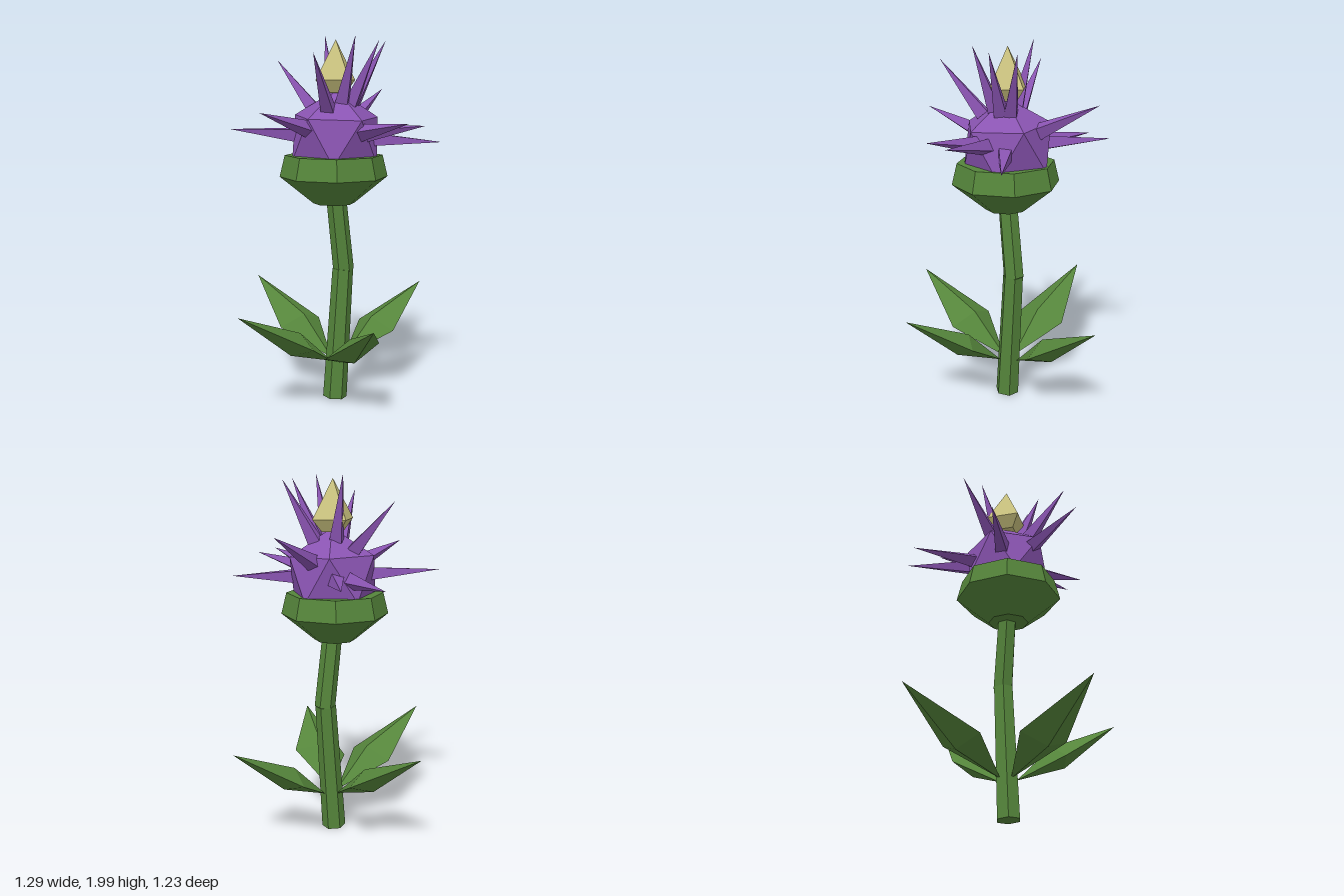
import * as THREE from 'three';

const V = (x, y, z) => new THREE.Vector3(x, y, z);
const UP = V(0, 1, 0);

export function createModel() {
  const model = new THREE.Group();

  const green = new THREE.MeshStandardMaterial({ color: 0x55853b });
  green.name = 'leafGreen';
  const purple = new THREE.MeshStandardMaterial({ color: 0x8a54b2 });
  purple.name = 'thistlePurple';
  const gold = new THREE.MeshStandardMaterial({ color: 0xcbc37f });
  gold.name = 'paleGold';
  for (const m of [green, purple, gold]) m.flatShading = true;

  const add = (name, geometry, material, parent = model) => {
    const mesh = new THREE.Mesh(geometry, material);
    mesh.name = name;
    parent.add(mesh);
    return mesh;
  };

  // Tapered rod or cone running from point a to point b
  const rod = (name, a, b, ra, rb, sides, material, parent) => {
    const dir = b.clone().sub(a);
    const mesh = add(name, new THREE.CylinderGeometry(rb, ra, dir.length(), sides), material, parent);
    mesh.position.copy(a).add(b).multiplyScalar(0.5);
    mesh.quaternion.setFromUnitVectors(UP, dir.normalize());
    return mesh;
  };

  // Bent stem in two hexagonal pieces
  rod('lowerStem', V(0.003, 0.005, 0.043), V(0.055, 0.73, 0.043), 0.066, 0.057, 6, green);
  rod('upperStem', V(0.06, 0.725, 0.043), V(0.012, 1.12, 0.043), 0.057, 0.054, 6, green);

  // Leaves: stretched octahedra, widest at 40% of their length
  const leaf = (base, tip, roll = 0) => {
    const mid = base.clone().lerp(tip, 0.41);
    const axis = tip.clone().sub(base).normalize();
    const side = axis.clone().cross(UP).normalize();
    const ridge = side.clone().cross(axis).multiplyScalar(0.065);
    side.multiplyScalar(0.15);
    side.y += roll;
    const geo = new THREE.OctahedronGeometry(1);
    const pos = geo.attributes.position;
    for (let i = 0; i < pos.count; i++) {
      const [x, y, z] = [pos.getX(i), pos.getY(i), pos.getZ(i)];
      const p = mid.clone().addScaledVector(side, x).addScaledVector(ridge, z);
      p.addScaledVector((y > 0 ? tip : base).clone().sub(mid), Math.abs(y));
      pos.setXYZ(i, p.x, p.y, p.z);
    }
    geo.computeVertexNormals();
    add('leaf', geo, green);
  };
  leaf(V(0.07, 0.215, 0.03), V(0.645, 0.57, -0.003));
  leaf(V(-0.02, 0.215, 0.045), V(-0.65, 0.585, 0.137));
  leaf(V(0.01, 0.215, 0.0), V(-0.11, 0.585, -0.615));
  leaf(V(0.0, 0.215, 0.09), V(-0.157, 0.545, 0.613), -0.03);

  // Eight-sided cup under the flower, closed on top
  const cup = add('flowerCup', new THREE.LatheGeometry(
    [[0, 1.1], [0.11, 1.1], [0.29, 1.245], [0.262, 1.36], [0, 1.36]].map(p => new THREE.Vector2(...p)),
    8, 0.244), green);
  cup.position.set(-0.005, 0, 0.042);

  // Faceted flower head
  const head = add('flowerHead', new THREE.IcosahedronGeometry(0.262, 0), purple);
  head.position.set(0.005, 1.445, 0.042);
  head.rotation.x = -0.97;

  // Spikes radiating from the head, listed by their tips
  const spikes = new THREE.Group();
  spikes.name = 'spikes';
  model.add(spikes);
  const centre = V(0.005, 1.45, 0.042);
  const tips = [
    [0.058, 1.45, -0.52], [0.273, 1.46, -0.46], [0.472, 1.7, -0.165], [0.42, 1.435, 0.425],
    [0.183, 1.535, 0.572], [0.06, 1.55, 0.595], [-0.275, 1.89, 0.26], [-0.525, 1.6, 0.165],
    [-0.443, 1.495, -0.305], [-0.135, 1.862, -0.32], [0.04, 1.995, -0.11], [0.238, 1.96, 0.17],
    [0.128, 1.96, 0.26], [-0.015, 1.98, 0.25],
  ];
  for (const t of tips) {
    const tip = V(...t);
    rod('spike', centre.clone().lerp(tip, 0.36), tip, 0.047, 0, 4, purple, spikes);
  }

  // Four-sided bud on top
  const bud = add('bud', new THREE.LatheGeometry(
    [[0, 1.685], [0.07, 1.69], [0.127, 1.755], [0, 1.965]].map(p => new THREE.Vector2(...p)), 4), gold);
  bud.position.set(0.008, 0, 0.04);

  return model;
}
